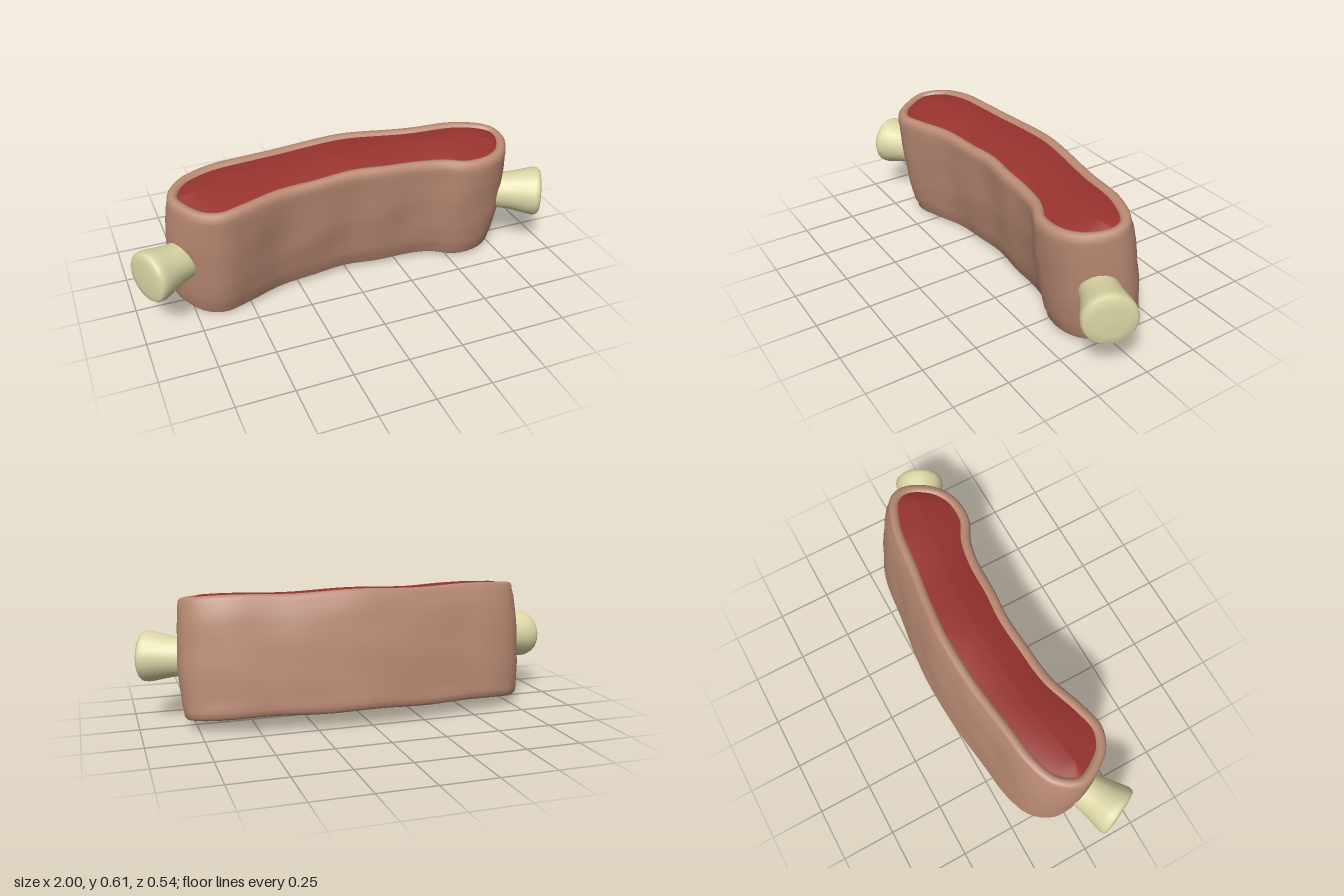
import * as THREE from 'three';

const SEGMENTS = 112;

// Outline of the slab seen from above as [x, z], counterclockwise from the front left corner
const outline = new THREE.CatmullRomCurve3([
  [-0.75, 0.175], [-0.7, 0.22], [-0.62, 0.246], [-0.5, 0.22], [-0.33, 0.165], [-0.15, 0.148], [0, 0.138],
  [0.15, 0.15], [0.3, 0.155], [0.42, 0.178], [0.52, 0.226], [0.65, 0.222], [0.75, 0.16], [0.81, 0.03],
  [0.78, -0.055], [0.64, -0.122], [0.4, -0.155], [0.22, -0.18], [0.05, -0.195], [-0.18, -0.188],
  [-0.3, -0.175], [-0.45, -0.155], [-0.62, -0.132], [-0.75, -0.075], [-0.813, 0.04],
].map(([x, z]) => new THREE.Vector3(x, 0, z)), true, 'centripetal');

const rim = Array.from({ length: SEGMENTS }, (_, i) => {
  const p = outline.getPointAt(i / SEGMENTS);
  const d = outline.getTangentAt(i / SEGMENTS);
  return { x: p.x, z: p.z, nx: -d.z, nz: d.x };
});

// Leans the slab backwards at its foot and tilts both cut faces; t runs from foot (0) to top (1)
function place(x, z, t, dy) {
  const zz = z - 0.078 * (1 - t);
  const top = 0.585 - 0.14 * zz + 0.004 * Math.sin(x * 11 + 1);
  const foot = 0.034 - 0.17 * zz + 0.008 * x + 0.003 * Math.sin(x * 13 + 2);
  return [x, foot + (top - foot) * t + dy, zz];
}

// Skins closed rings of points, listed from the top and inside outwards and down
function loft(rings) {
  const index = [];
  for (let j = 0; j < rings.length - 1; j++) {
    for (let i = 0; i < SEGMENTS; i++) {
      const k = (i + 1) % SEGMENTS;
      const a = j * SEGMENTS + i, b = j * SEGMENTS + k;
      const c = a + SEGMENTS, d = b + SEGMENTS;
      index.push(a, c, b, b, c, d);
    }
  }
  const geometry = new THREE.BufferGeometry();
  geometry.setAttribute('position', new THREE.Float32BufferAttribute(rings.flat(2), 3));
  geometry.setIndex(index);
  geometry.computeVertexNormals();
  return geometry;
}

// One ring of the skin, bulging at mid height with soft dents that fade out towards the rims
function skinRing([inset, t, dy]) {
  return rim.map(({ x, z, nx, nz }) => {
    const wave = Math.sin(x * 9 + Math.sin(t * 7) * 1.5) * Math.cos(t * 8 + x * 3)
      + 0.5 * Math.sin(x * 19 - t * 5 + z * 9);
    const offset = Math.sin(Math.PI * t) * (0.013 + 0.004 * wave) - inset;
    return place(x + nx * offset, z + nz * offset, t, dy);
  });
}

// One ring of a cut face, shrinking towards the curved middle line as s goes to 1
function cutRing(s, t) {
  const sign = t ? 1 : -1;
  return rim.map(({ x, z, nx, nz }) => {
    const px = x - nx * 0.042, pz = z - nz * 0.042;
    const mx = x * 0.87, mz = -0.02 + 0.15 * mx * mx;
    const dome = -0.012 + 0.018 * Math.sin(s * Math.PI / 2);
    return place(px + (mx - px) * s, pz + (mz - pz) * s, t, sign * dome);
  });
}

function createBone(side, material) {
  // Shaft flaring to a knob with a softly rounded end
  const profile = [
    [0.086, 0], [0.086, 0.12], [0.087, 0.17], [0.092, 0.22], [0.103, 0.27], [0.113, 0.31],
    [0.117, 0.335], [0.115, 0.352], [0.106, 0.362], [0.07, 0.367], [0, 0.368],
  ].map(([r, y]) => new THREE.Vector2(r, y));
  const bone = new THREE.Mesh(new THREE.LatheGeometry(profile, 20), material);
  const direction = new THREE.Vector3(side * 0.9, 0, 0.436).normalize();
  bone.quaternion.setFromUnitVectors(new THREE.Vector3(0, 1, 0), direction);
  bone.position.set(side * 0.959, side > 0 ? 0.3 : 0.284, 0.172).addScaledVector(direction, -0.367);
  bone.name = side > 0 ? 'leftBone' : 'rightBone';
  return bone;
}

export function createModel() {
  const group = new THREE.Group();
  group.name = 'meatSlab';
  const skinMaterial = new THREE.MeshStandardMaterial({ color: 0xb98a73 });
  const meatMaterial = new THREE.MeshStandardMaterial({ color: 0x98332f });
  const boneMaterial = new THREE.MeshStandardMaterial({ color: 0xdcd7a6 });

  // Skin: rolled rim at the top, wall, rolled rim at the foot
  const lip = [[0.05, -0.02], [0.044, -0.004], [0.03, 0.001], [0.013, -0.002], [0.003, -0.013], [0, -0.035]];
  const wall = [0.88, 0.78, 0.68, 0.58, 0.48, 0.38, 0.28, 0.18, 0.11];
  const skinRows = [
    ...lip.map(([inset, dy]) => [inset, 1, dy]),
    ...wall.map((t) => [0, t, 0]),
    ...lip.map(([inset, dy]) => [inset, 0, -dy]).reverse(),
  ];
  const skin = new THREE.Mesh(loft(skinRows.map(skinRing)), skinMaterial);
  skin.name = 'skin';
  group.add(skin);

  // Red cut faces at the top and the foot
  const steps = [0, 0.2, 0.4, 0.7, 1];
  const topCut = new THREE.Mesh(loft([...steps].reverse().map((s) => cutRing(s, 1))), meatMaterial);
  topCut.name = 'topCut';
  const footCut = new THREE.Mesh(loft(steps.map((s) => cutRing(s, 0))), meatMaterial);
  footCut.name = 'footCut';
  group.add(topCut, footCut);

  // Bone ends sticking out on both sides
  for (const side of [1, -1]) group.add(createBone(side, boneMaterial));
  return group;
}
